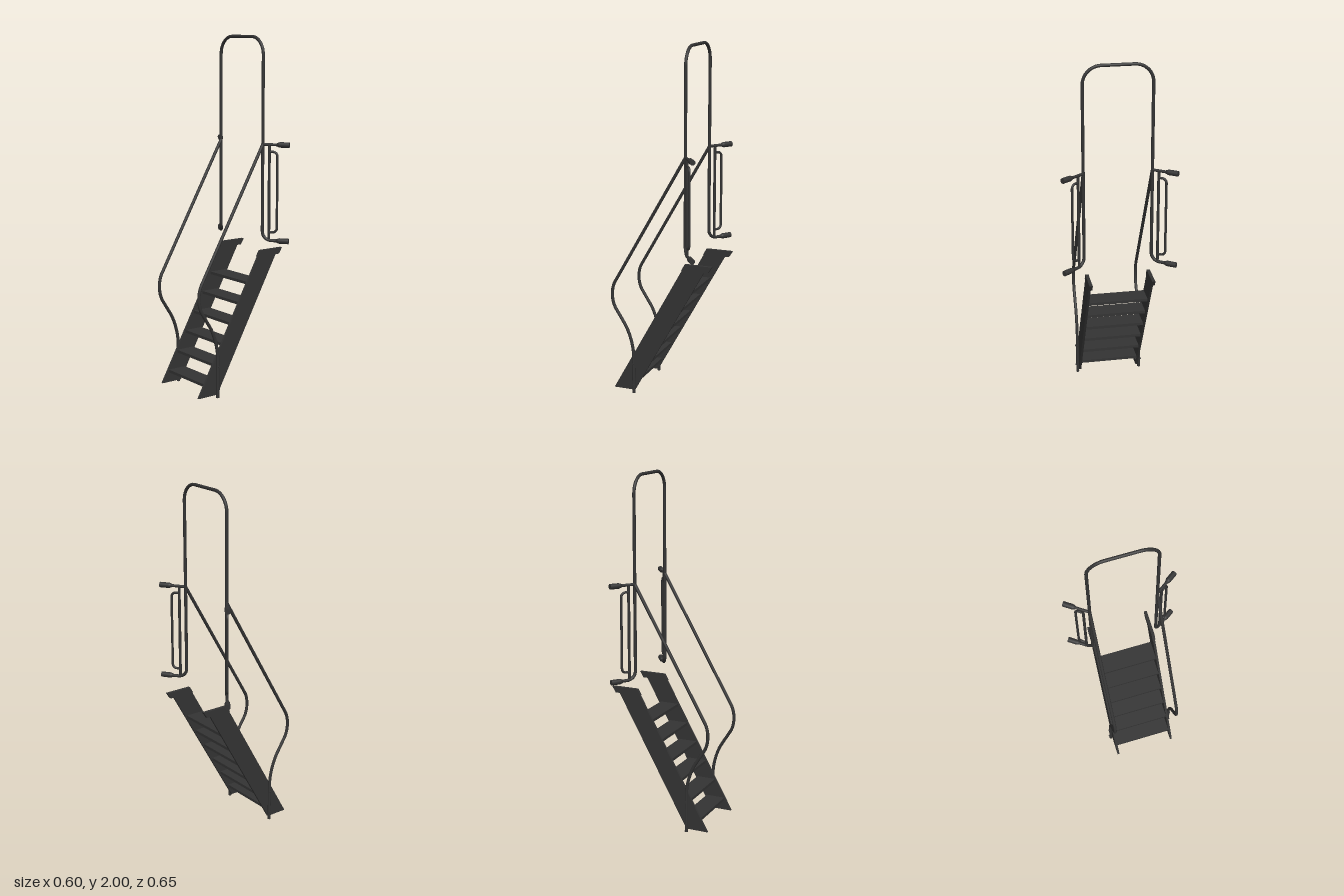
import * as THREE from 'three';

const material = new THREE.MeshStandardMaterial({ color: 0x333333, side: THREE.DoubleSide });
const R = 0.009;          // main tube radius
const RAIL_Z = 0.19;      // handrail plane
const v = (x, y, z) => new THREE.Vector3(x, y, z);

function add(parent, name, geometry) {
  const mesh = new THREE.Mesh(geometry, material);
  mesh.name = name;
  parent.add(mesh);
  return mesh;
}

// Straight runs joined by smooth bends; trims[i] is how far each inner corner is cut back
function bentTube(points, trims, radius, segments = 120) {
  const path = new THREE.CurvePath();
  let from = points[0];
  for (let i = 1; i < points.length - 1; i++) {
    const p = points[i], t = trims[i - 1];
    const a = p.clone().add(points[i - 1].clone().sub(p).setLength(t));
    const b = p.clone().add(points[i + 1].clone().sub(p).setLength(t));
    const k = 0.55;
    path.add(new THREE.LineCurve3(from, a));
    path.add(new THREE.CubicBezierCurve3(a, a.clone().lerp(p, k), b.clone().lerp(p, k), b));
    from = b;
  }
  path.add(new THREE.LineCurve3(from, points[points.length - 1]));
  return new THREE.TubeGeometry(path, segments, radius, 12);
}

function rod(parent, name, a, b, radius) {
  const mesh = add(parent, name, new THREE.CylinderGeometry(radius, radius, a.distanceTo(b), 16));
  mesh.position.copy(a).lerp(b, 0.5);
  mesh.quaternion.setFromUnitVectors(v(0, 1, 0), b.clone().sub(a).normalize());
  return mesh;
}

// Side-profile plate extruded between two z values
function plate(parent, name, outline, z0, z1) {
  const shape = new THREE.Shape(outline.map(([x, y]) => new THREE.Vector2(x, y)));
  const g = new THREE.ExtrudeGeometry(shape, { depth: z1 - z0, bevelEnabled: false });
  g.translate(0, 0, z0);
  return add(parent, name, g);
}

// Tread: thin top with a folded skirt, open underneath
function makeTread() {
  const tread = new THREE.Group();
  tread.name = 'tread';
  const depth = 0.112, width = 0.338, height = 0.016, t = 0.004;
  add(tread, 'treadTop', new THREE.BoxGeometry(depth, t, width)).position.y = height / 2 - t / 2;
  for (const s of [-1, 1]) {
    add(tread, 'treadLip', new THREE.BoxGeometry(t, height, width)).position.x = s * (depth - t) / 2;
    add(tread, 'treadEnd', new THREE.BoxGeometry(depth, height, t)).position.z = s * (width - t) / 2;
  }
  return tread;
}

export function createModel() {
  const model = new THREE.Group();
  model.name = 'accessStairs';

  // Six evenly spaced treads
  for (let i = 0; i < 6; i++) {
    const tread = makeTread();
    tread.position.set(-0.191 + i * 0.0605, 0.081 + i * 0.108, 0);
    model.add(tread);
  }

  // Hoop with both lower ends turned outwards at an angle
  const out = (d, y, s) => v(0.15 + 0.58 * d, y, s * (RAIL_Z + 0.815 * d));
  add(model, 'hoop', bentTube([
    out(0.13, 0.86, -1), v(0.15, 0.86, -RAIL_Z), v(0.15, 1.991, -RAIL_Z),
    v(0.15, 1.991, RAIL_Z), v(0.15, 0.86, RAIL_Z), out(0.13, 0.86, 1),
  ], [0.05, 0.1, 0.1, 0.05], R, 260));

  for (const s of [-1, 1]) {
    const side = new THREE.Group();
    side.name = s > 0 ? 'leftSide' : 'rightSide';
    model.add(side);

    // Sloping stringer and its slanted top bracket
    const [z0, z1] = s > 0 ? [0.169, 0.182] : [-0.182, -0.169];
    plate(side, 'stringer', [[-0.29, 0.015], [-0.162, 0.015], [0.258, 0.768], [0.275, 0.798], [0.146, 0.798]], z0, z1);
    const [b0, b1] = s > 0 ? [0.166, 0.184] : [-0.184, -0.166];
    plate(side, 'topBracket', [[0.124, 0.765], [0.28, 0.765], [0.302, 0.8], [0.144, 0.8]], b0, b1);

    // Handrail curving down to a foot post
    add(side, 'handrail', bentTube([
      v(0.15, 1.4, s * RAIL_Z), v(-0.322, 0.577, s * RAIL_Z),
      v(-0.165, 0.33, s * RAIL_Z), v(-0.165, 0, s * RAIL_Z),
    ], [0.095, 0.1], R, 160));
    const cap = add(side, 'footCap', new THREE.CircleGeometry(R, 12));
    cap.rotation.x = Math.PI / 2;
    cap.position.set(-0.165, 0.0005, s * RAIL_Z);

    // Bolts fixing the post to the stringer
    for (const y of [0.05, 0.18]) {
      rod(side, 'bolt', v(-0.165, y, s * 0.165), v(-0.165, y, s * 0.203), 0.005);
    }

    // Upper arm and the sleeves on both arms
    rod(side, 'upperArm', out(0, 1.4, s), out(0.13, 1.4, s), R * 0.9);
    for (const y of [0.86, 1.4]) {
      const profile = [[0, 0], [0.009, 0], [0.014, 0.012], [0.0155, 0.018], [0.0155, 0.072], [0.0155, 0.072], [0, 0.072]];
      const sleeve = add(side, 'sleeve', new THREE.LatheGeometry(profile.map(([r, h]) => new THREE.Vector2(r, h)), 16));
      sleeve.position.copy(out(0.08, y, s));
      sleeve.quaternion.setFromUnitVectors(v(0, 1, 0), v(0.58, 0, s * 0.815).normalize());
    }

    // Upright between the arms with a grab handle
    rod(side, 'upright', out(0.038, 0.86, s), out(0.038, 1.4, s), 0.008);
    add(side, 'grabHandle', bentTube([
      out(0.038, 1.36, s), out(0.084, 1.36, s), out(0.084, 0.907, s), out(0.038, 0.907, s),
    ], [0.025, 0.025], 0.007, 100));
  }
  return model;
}
